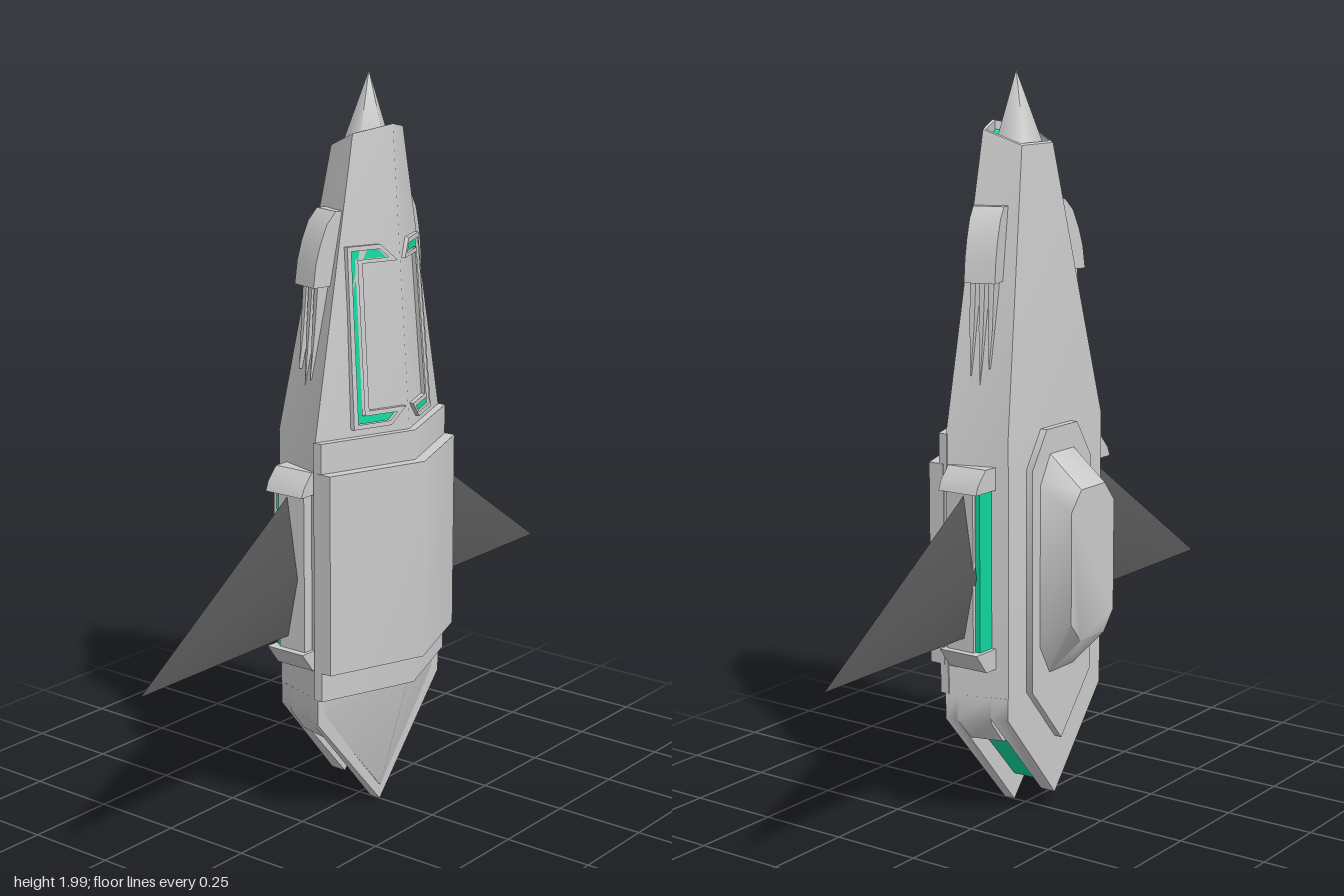
import * as THREE from 'three';
import { toCreasedNormals } from 'three/addons/utils/BufferGeometryUtils.js';
import { ConvexGeometry } from 'three/addons/geometries/ConvexGeometry.js';

const grey = new THREE.MeshStandardMaterial({ color: 0xcccccc });
const dark = new THREE.MeshStandardMaterial({ color: 0x5a5a5a });
const green = new THREE.MeshStandardMaterial({ color: 0x10d8a0 });

function add(parent, name, geo, mat = grey, crease = 0.8) {
  const mesh = new THREE.Mesh(toCreasedNormals(geo, crease), mat);
  mesh.name = name;
  parent.add(mesh);
  return mesh;
}

// Five-sided section: front ridge, two front corners, two back corners
function penta(y, xF, zF, zA, xB, zB, tilt = 0) {
  return [[0, zA], [xF, zF], [xB, zB], [-xB, zB], [-xF, zF]]
    .map(([x, z]) => [x, y + tilt * (z - zA), z]);
}

// Skin between loops that climb in y, closed at both ends
function loft(loops) {
  const n = loops[0].length, index = [];
  for (let k = 0; k < loops.length - 1; k++) {
    for (let i = 0; i < n; i++) {
      const a = k * n + i, b = k * n + (i + 1) % n;
      index.push(a, b, b + n, a, b + n, a + n);
    }
  }
  const top = (loops.length - 1) * n;
  for (let i = 1; i < n - 1; i++) index.push(0, i + 1, i, top, top + i, top + i + 1);
  const geo = new THREE.BufferGeometry();
  geo.setAttribute('position', new THREE.Float32BufferAttribute(loops.flat(2), 3));
  geo.setIndex(index);
  return geo;
}

const toV2 = (pts) => pts.map(([x, y]) => new THREE.Vector2(x, y));
const hull = (pts) => new ConvexGeometry(pts.map((p) => new THREE.Vector3(...p)));

function extrude(pts, z0, z1, hole) {
  const shape = new THREE.Shape(toV2(pts));
  if (hole) shape.holes.push(new THREE.Path(toV2(hole)));
  return new THREE.ExtrudeGeometry(shape, { depth: z1 - z0, bevelEnabled: false }).translate(0, 0, z0);
}

function moveVertices(geo, rule) {
  const p = geo.attributes.position;
  for (let i = 0; i < p.count; i++) p.setXYZ(i, ...rule(p.getX(i), p.getY(i), p.getZ(i)));
  return geo;
}

// Narrow a part towards the back like the hull flanks
const flank = (geo) => moveVertices(geo, (x, y, z) => [x * (1 + (z - 0.064) * 1.15), y, z]);

// Lay a part on the sloping front face of the upper hull
const onFrontFace = (geo) => moveVertices(geo, (x, y, z) => {
  const t = (y - 1.08) / 0.78;
  const ridge = 0.165 - 0.06 * t, corner = 0.064 - 0.004 * t;
  return [x, y, z + ridge + (corner - ridge) * x / (0.265 - 0.165 * t)];
});

const mirrored = (pts) => [...pts, ...pts.slice().reverse().filter(([x]) => x > 0).map(([x, y]) => [-x, y])];

function buildSide() {
  const side = new THREE.Group();

  // Green channel with a raised bracket frame on the front face
  const outer = [[0.015, 1.525], [0.06, 1.57], [0.15, 1.57], [0.165, 1.1],
    [0.06, 1.1], [0.015, 1.145], [0.12, 1.145], [0.112, 1.525]];
  const inner = [[0.04, 1.535], [0.062, 1.558], [0.14, 1.558], [0.152, 1.112],
    [0.062, 1.112], [0.04, 1.133], [0.133, 1.133], [0.125, 1.535]];
  add(side, 'lightFrame', onFrontFace(extrude(outer, -0.01, 0.012, inner)));
  add(side, 'lightChannel', onFrontFace(extrude(inner, -0.01, 0.004)), green);

  // Wing with a diamond root
  add(side, 'wing', hull([[0.26, 0.95, -0.01], [0.26, 0.72, 0.025], [0.26, 0.72, -0.045],
    [0.26, 0.55, -0.01], [0.85, 0.55, -0.01]]), dark);

  // Wing mount: panel, end lugs and rear light strip
  add(side, 'wingMountPanel', new THREE.BoxGeometry(0.07, 0.45, 0.085).translate(0.255, 0.73, 0.003));
  add(side, 'wingMountTop', extrude([[0.22, 0.94], [0.31, 0.94], [0.3, 0.965], [0.268, 1], [0.22, 1]], -0.065, 0.055));
  add(side, 'wingMountBottom', extrude([[0.22, 0.46], [0.268, 0.46], [0.31, 0.515], [0.22, 0.515]], -0.065, 0.055));
  add(side, 'wingMountLight', new THREE.BoxGeometry(0.06, 0.43, 0.016).translate(0.25, 0.73, -0.046), green);

  // Flank pod with three tapering fins beneath it
  const pod = new THREE.Group();
  pod.name = 'flankPod';
  pod.rotation.y = 0.28;
  pod.position.set(0.01, 0, 0.05);
  add(pod, 'podShell', extrude([[0.1, 1.66], [0.145, 1.66], [0.172, 1.63], [0.193, 1.58],
    [0.207, 1.53], [0.215, 1.47], [0.14, 1.47]], -0.042, 0.042));
  for (const [z, end] of [[-0.025, 1.25], [0, 1.2], [0.025, 1.23]]) {
    add(pod, 'podFin', hull([[0.14, 1.48, z - 0.008], [0.14, 1.48, z + 0.008],
      [0.195, 1.48, z - 0.008], [0.195, 1.48, z + 0.008], [0.205, 1.35, z - 0.006],
      [0.205, 1.35, z + 0.006], [0.215, end, z], [0.19, end, z]]));
  }
  side.add(pod);
  return side;
}

export function createModel() {
  const model = new THREE.Group();
  model.name = 'spacecraft';

  // Tapering hull with a hollow slanted top
  add(model, 'hull', loft([
    penta(0.38, 0.265, 0.064, 0.165, 0.215, -0.098),
    penta(1.08, 0.265, 0.064, 0.165, 0.215, -0.098),
    penta(1.87, 0.105, 0.06, 0.107, 0.07, -0.038, 0.4),
    penta(1.868, 0.096, 0.056, 0.098, 0.064, -0.031, 0.4),
    penta(1.83, 0.096, 0.056, 0.098, 0.064, -0.031, 0.4),
  ]));
  add(model, 'topLight', loft([
    penta(1.82, 0.094, 0.055, 0.096, 0.063, -0.03, 0.4),
    penta(1.845, 0.094, 0.055, 0.096, 0.063, -0.03, 0.4),
  ]), green);
  add(model, 'nosePoint', hull([...penta(1.8, 0.07, 0.05, 0.085, 0.045, -0.028), [0, 2, 0.03]]), grey, 1.45);

  // Layered chest plates
  add(model, 'chestCollar', loft([0.38, 1.08].map((y) => penta(y, 0.268, 0.085, 0.185, 0.268, 0.06))));
  add(model, 'chestPlate', loft([0.46, 1].map((y) => penta(y, 0.27, 0.116, 0.216, 0.27, 0.07))));

  // Back plate and pack
  add(model, 'backPlate', extrude(mirrored([[0, 0.22], [0.135, 0.38], [0.135, 0.98], [0.07, 1.08]]), -0.118, -0.09));
  const pack = extrude(mirrored([[0.055, 0.41], [0.1, 0.49], [0.1, 0.94], [0.055, 1.02]]), -0.217, -0.11);
  add(model, 'backPack', moveVertices(pack, (x, y, z) =>
    [x, z < -0.2 ? 0.725 + (y - 0.715) * 0.67 : y, z]));

  // Pointed lower end: two rim plates, the shoulder and the lit recess between them
  add(model, 'frontRim', flank(extrude(mirrored([[0, 0.01], [0.265, 0.31], [0.265, 0.38]]), 0.038, 0.07)));
  add(model, 'backRim', flank(extrude(mirrored([[0, 0.06], [0.265, 0.32], [0.265, 0.38]]), -0.097, -0.052)));
  add(model, 'shoulder', flank(extrude(mirrored([[0.205, 0.245], [0.265, 0.31], [0.265, 0.38]]), -0.052, 0.038)));
  add(model, 'recessLight', flank(extrude(mirrored([[0, 0.085], [0.2, 0.3]]), -0.052, 0.038)), green);
  add(model, 'lowerRidge', hull([[0.262, 0.38, 0.064], [-0.262, 0.38, 0.064], [0, 0.38, 0.165],
    [0.24, 0.325, 0.068], [-0.24, 0.325, 0.068], [0, 0.05, 0.072], [0, 0.05, 0.06]]));

  // Paired parts
  const left = buildSide(), right = buildSide();
  left.name = 'leftSide';
  right.name = 'rightSide';
  right.scale.x = -1;
  model.add(left, right);
  return model;
}
